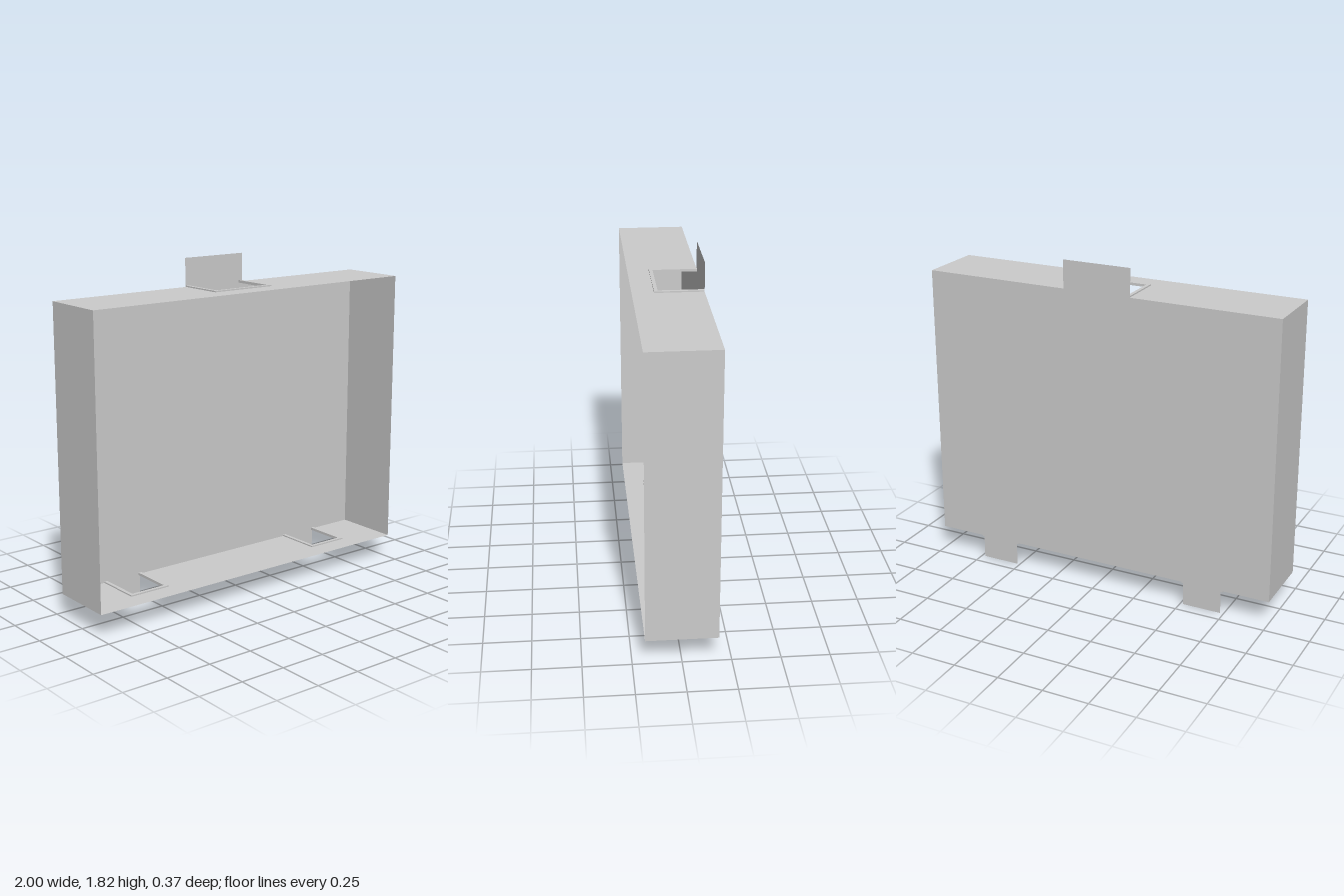
import * as THREE from 'three';

const W = 1, D = 0.185, Y0 = 0.133, Y1 = 1.666; // half width, half depth, bottom and top of the tray
const RIM = 0.019, RIM_H = 0.014, SLOT_Z = 0.052; // rim around each slot
const TOP_SLOTS = [{ x: 0, half: 0.168 }];
const BOTTOM_SLOTS = [{ x: -0.623, half: 0.1 }, { x: 0.623, half: 0.1 }];

const sheetMat = new THREE.MeshStandardMaterial({ color: 0xcccccc, side: THREE.DoubleSide, flatShading: true });
const solidMat = new THREE.MeshStandardMaterial({ color: 0xcccccc, flatShading: true });

const polygon = (pts) => new THREE.Shape(pts.map(([x, y]) => new THREE.Vector2(x, y)));

function add(parent, name, geometry, material) {
  const mesh = new THREE.Mesh(geometry, material);
  mesh.name = name;
  parent.add(mesh);
  return mesh;
}

// Horizontal sheet with slots open to the back edge (shape y becomes z)
function slottedWall(slots, y) {
  const pts = [[W, D], [-W, D], [-W, -D]];
  for (const { x, half } of slots) {
    const h = half + RIM / 2, z = SLOT_Z + RIM / 2;
    pts.push([x - h, -D], [x - h, z], [x + h, z], [x + h, -D]);
  }
  pts.push([W, -D]);
  return new THREE.ShapeGeometry(polygon(pts)).rotateX(Math.PI / 2).translate(0, y, 0);
}

// U-shaped raised rim around a slot
function slotRim({ x, half }, y) {
  const o = half + RIM, z = SLOT_Z + RIM;
  const shape = polygon([
    [x - o, -D], [x - half, -D], [x - half, SLOT_Z], [x + half, SLOT_Z],
    [x + half, -D], [x + o, -D], [x + o, z], [x - o, z],
  ]);
  return new THREE.ExtrudeGeometry(shape, { depth: RIM_H, bevelEnabled: false })
    .rotateX(Math.PI / 2).translate(0, y + RIM_H / 2, 0);
}

export function createModel() {
  const model = new THREE.Group();
  model.name = 'mountingTray';

  // Back sheet, with the mounting tabs in the same plane
  const back = [[-W, Y0]];
  for (const { x } of BOTTOM_SLOTS) {
    back.push([x - 0.108, Y0], [x - 0.108, 0], [x + 0.108, 0], [x + 0.108, Y0]);
  }
  back.push([W, Y0], [W, Y1], [0.191, Y1], [0.191, 1.82], [-0.191, 1.82], [-0.191, Y1], [-W, Y1]);
  add(model, 'backPanelWithTabs', new THREE.ShapeGeometry(polygon(back)).translate(0, 0, -D), sheetMat);

  // Side walls
  for (const [name, s] of [['leftWall', 1], ['rightWall', -1]]) {
    const wall = add(model, name, new THREE.PlaneGeometry(2 * D, Y1 - Y0), sheetMat);
    wall.rotation.y = s * Math.PI / 2;
    wall.position.set(s * W, (Y0 + Y1) / 2, 0);
  }

  // Top and bottom walls with their slot rims
  for (const [name, slots, y] of [['top', TOP_SLOTS, Y1], ['bottom', BOTTOM_SLOTS, Y0]]) {
    add(model, name + 'Wall', slottedWall(slots, y), sheetMat);
    for (const slot of slots) add(model, name + 'SlotRim', slotRim(slot, y), solidMat);
  }
  return model;
}
